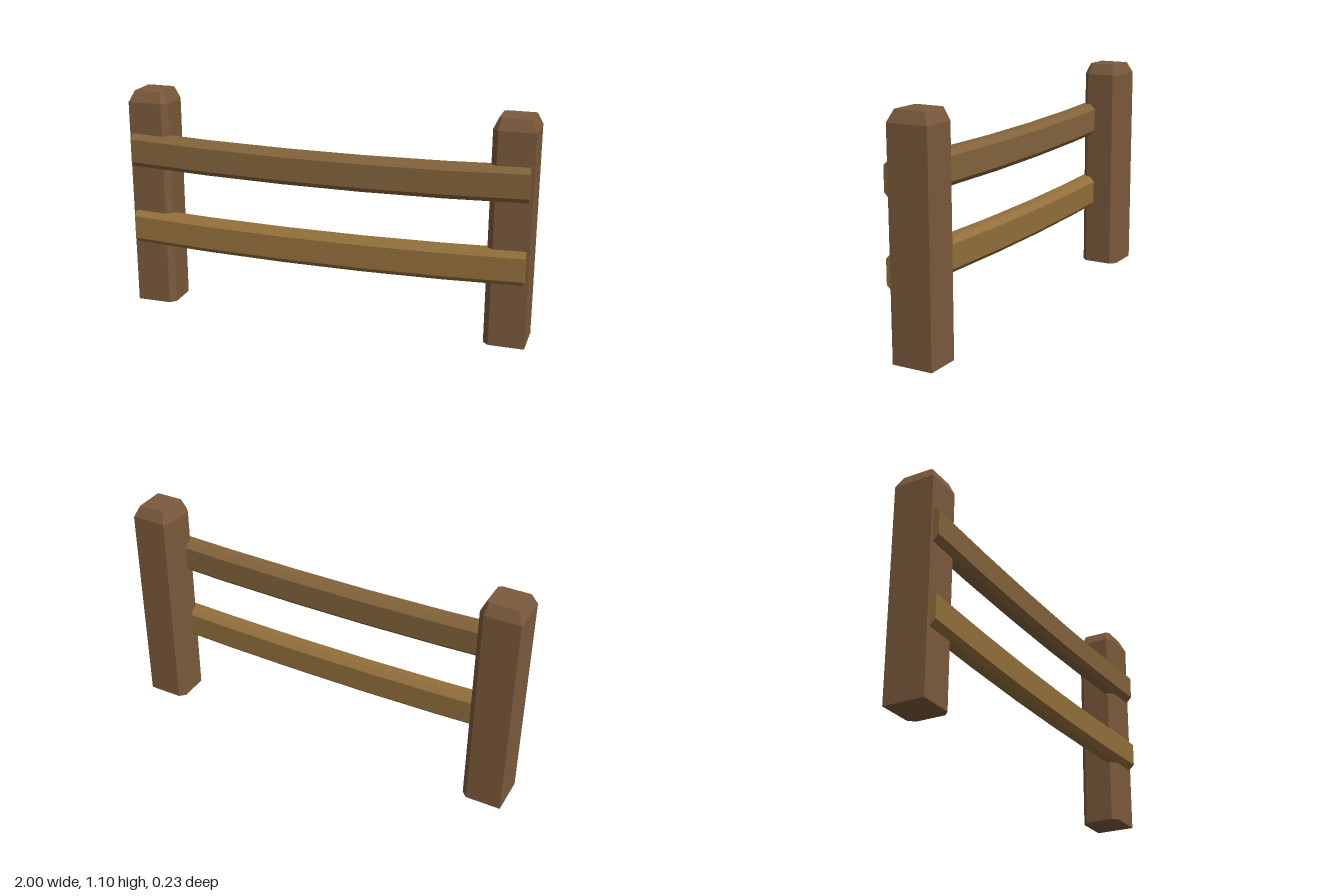
import * as THREE from 'three';
import { ConvexGeometry } from 'three/addons/geometries/ConvexGeometry.js';

const material = (color) => new THREE.MeshStandardMaterial({ color, flatShading: true });

// Post: square with the two inner corners chamfered and a bevelled cap
function makePost(side, name, mat) {
  const ring = (y, inset, c) => {
    const outer = 1 - inset, inner = 0.8 + inset;
    const front = 0.085 - inset, back = -0.115 + inset;
    return [
      [outer, front], [outer, back],
      [inner + c, back], [inner, back + c],
      [inner, front - c], [inner + c, front],
    ].map(([x, z]) => new THREE.Vector3(side * x, y, z));
  };
  const points = [...ring(0, 0, 0.028), ...ring(1.045, 0, 0.028), ...ring(1.1, 0.025, 0.014)];
  const post = new THREE.Mesh(new ConvexGeometry(points), mat);
  post.name = name;
  return post;
}

// Rail: chamfered plank that sags slightly towards the middle
function makeRail(y, name, mat) {
  const w = 0.05, h = 0.0835, c = 0.026, half = 0.985, sag = 0.022;
  const section = new THREE.Shape([
    [w, -h + c], [w, h - c], [w - c, h], [-w + c, h],
    [-w, h - c], [-w, -h + c], [-w + c, -h], [w - c, -h],
  ].map(([a, b]) => new THREE.Vector2(a, b)));
  const geo = new THREE.ExtrudeGeometry(section, { depth: 2 * half, steps: 5, bevelEnabled: false });
  geo.translate(0, 0, -half).rotateY(Math.PI / 2);
  const pos = geo.attributes.position;
  const flat = (half / 5) ** 2;
  for (let i = 0; i < pos.count; i++) {
    const x = pos.getX(i);
    pos.setY(i, pos.getY(i) + sag * (x * x - flat) / (half * half - flat));
  }
  geo.computeVertexNormals();
  const rail = new THREE.Mesh(geo, mat);
  rail.position.set(0, y, 0.065);
  rail.name = name;
  return rail;
}

export function createModel() {
  const fence = new THREE.Group();
  fence.name = 'fence';
  const postWood = material(0x7c5a3c);
  fence.add(
    makePost(1, 'leftPost', postWood),
    makePost(-1, 'rightPost', postWood),
    makeRail(0.783, 'upperRail', material(0x84643c)),
    makeRail(0.383, 'lowerRail', material(0x94703c)),
  );
  return fence;
}
